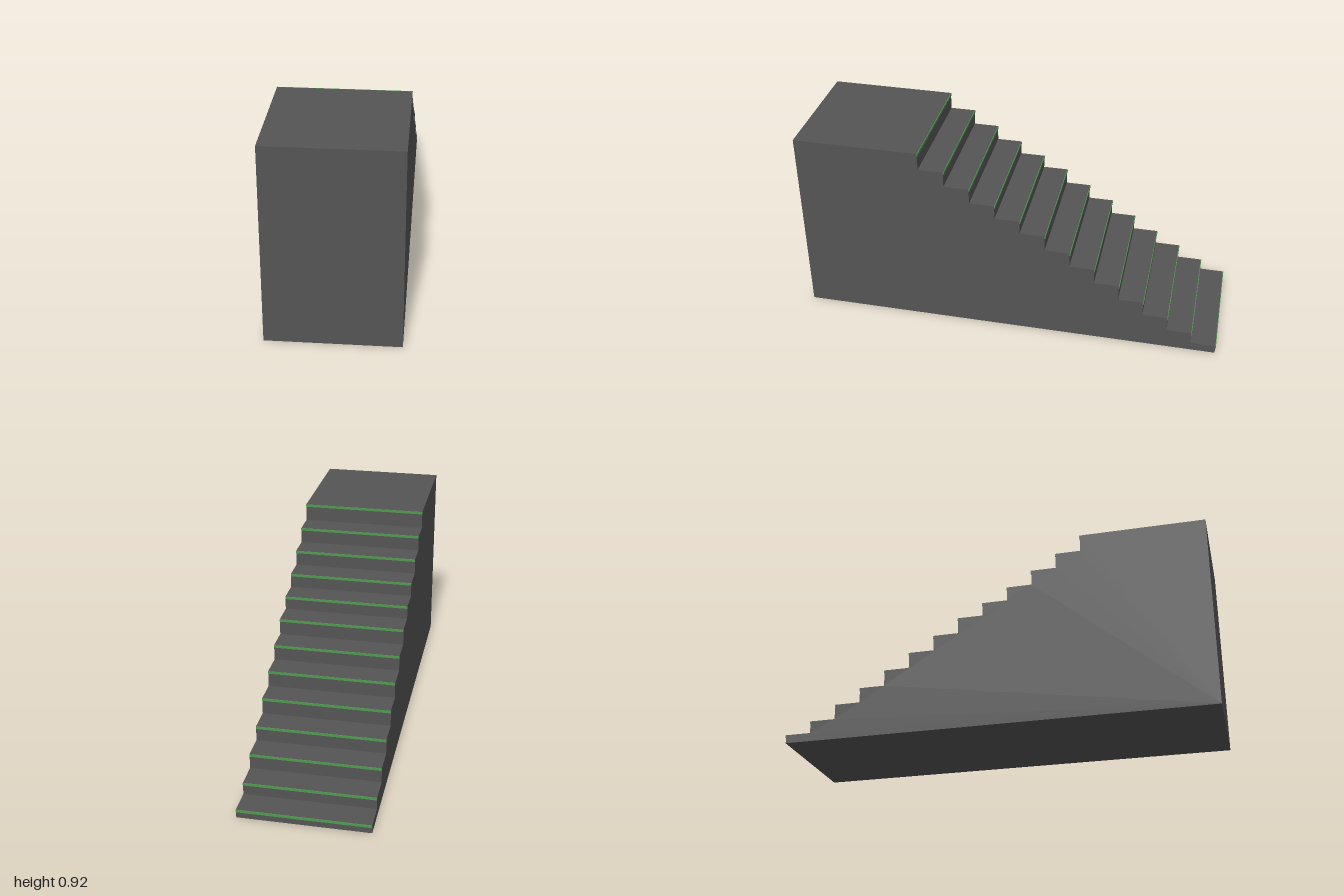
import * as THREE from 'three';

export function createModel() {
  const group = new THREE.Group();
  const width = 0.59, run = 0.1175, nose = 0.003, first = -1 + nose;
  // Tread heights from the lowest step up to the landing
  const tops = [0.04, 0.098, 0.17, 0.242, 0.32, 0.397, 0.472, 0.55, 0.615, 0.683, 0.757, 0.832, 0.915];

  // Solid stair block: stepped side profile (shape x = z axis), extruded across the width
  const profile = new THREE.Shape();
  profile.moveTo(first, 0);
  tops.forEach((top, i) => {
    const z = first + i * run;
    profile.lineTo(z, top);
    profile.lineTo(i < tops.length - 1 ? z + run : 1, top);
  });
  profile.lineTo(1, 0);
  const blockGeometry = new THREE.ExtrudeGeometry(profile, { depth: width, bevelEnabled: false });
  blockGeometry.translate(0, 0, -width / 2);
  blockGeometry.rotateY(-Math.PI / 2);
  const block = new THREE.Mesh(blockGeometry, new THREE.MeshStandardMaterial({ color: 0x555555 }));
  block.name = 'stairBlock';
  group.add(block);

  // Thin green edge strip along the top of every riser
  const stripHeight = 0.012;
  const stripGeometry = new THREE.BoxGeometry(width, stripHeight, nose);
  const stripMaterial = new THREE.MeshStandardMaterial({ color: 0x4f9a4f });
  const strips = new THREE.Group();
  strips.name = 'edgeStrips';
  tops.forEach((top, i) => {
    const strip = new THREE.Mesh(stripGeometry, stripMaterial);
    strip.name = `edgeStrip${i + 1}`;
    strip.position.set(0, top - stripHeight / 2, first + i * run - nose / 2);
    strips.add(strip);
  });
  group.add(strips);

  return group;
}
